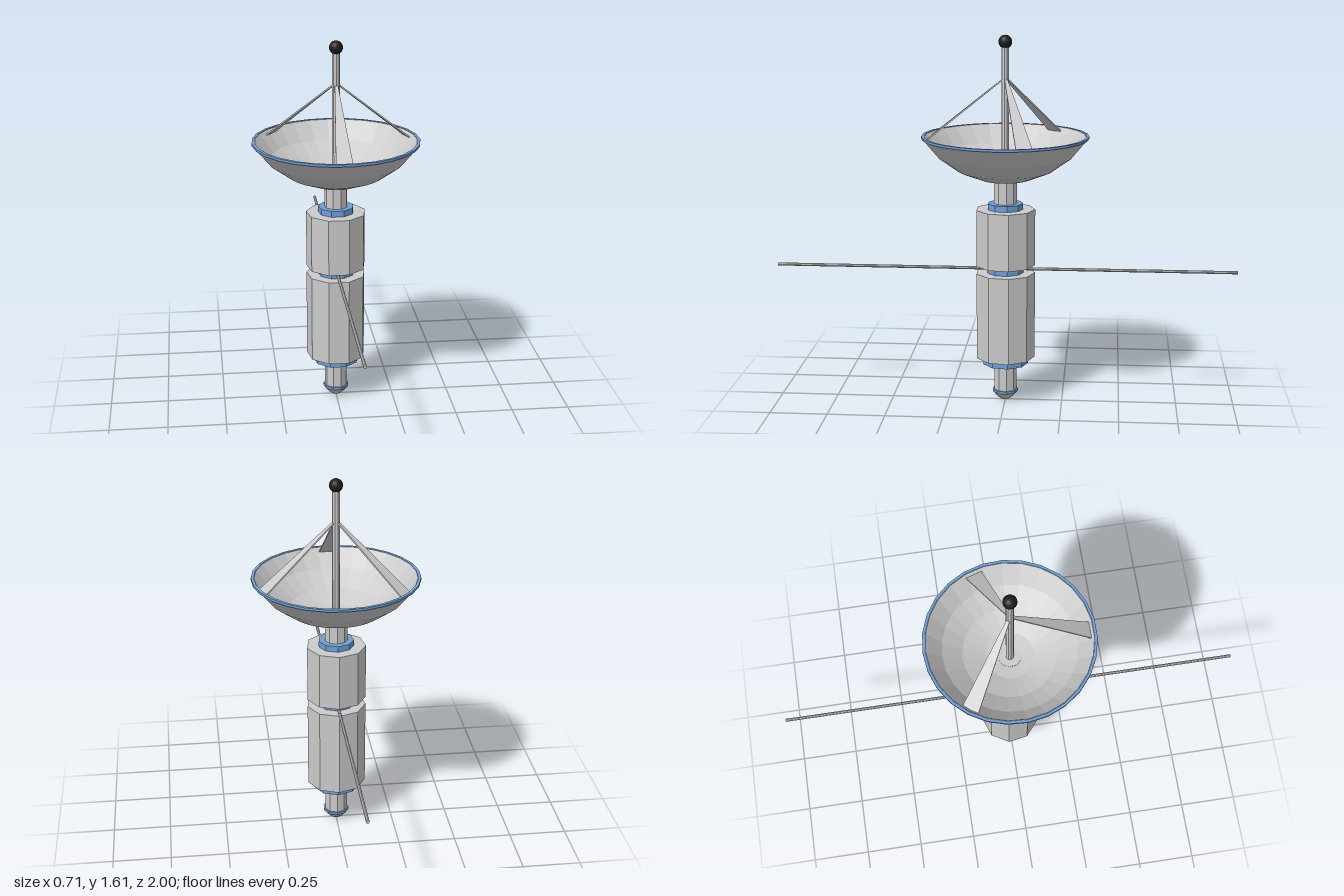
import * as THREE from 'three';

const SIDES = 9;
const mat = (color, side = THREE.FrontSide) =>
  new THREE.MeshStandardMaterial({ color, flatShading: true, side });

export function createModel() {
  const model = new THREE.Group();
  const grey = mat(0xcccccc);
  const blue = mat(0x6f9fd8);
  const black = mat(0x1c1c1c);

  const add = (name, geometry, material) => {
    const mesh = new THREE.Mesh(geometry, material);
    mesh.name = name;
    model.add(mesh);
    return mesh;
  };

  // Nine-sided drum between two heights, one corner facing the back
  const drum = (name, r, y0, y1, material) => {
    const g = new THREE.CylinderGeometry(r, r, y1 - y0, SIDES);
    g.rotateY(Math.PI);
    g.translate(0, (y0 + y1) / 2, 0);
    return add(name, g, material);
  };

  // Stacked body
  drum('lowerNeck', 0.05, 0.05, 0.18, grey);
  drum('noseBand', 0.056, 0.04, 0.051, blue);
  drum('lowerCollar', 0.1, 0.17, 0.201, blue);
  drum('lowerBody', 0.129, 0.2, 0.582, grey);
  drum('middleCollar', 0.08, 0.58, 0.617, blue);
  drum('upperBody', 0.129, 0.615, 0.862, grey);
  drum('upperCollar', 0.077, 0.86, 0.888, blue);
  drum('upperNeck', 0.05, 0.88, 1.0, grey);

  // Blunt nose at the foot
  const nose = [[0, 0], [0.019, 0.004], [0.037, 0.019], [0.055, 0.041]];
  const noseGeo = new THREE.LatheGeometry(nose.map(p => new THREE.Vector2(...p)), SIDES);
  noseGeo.rotateY(Math.PI);
  add('nose', noseGeo, grey);

  // Long rod running front to back
  const rod = new THREE.CylinderGeometry(0.007, 0.007, 2, 8);
  rod.rotateX(Math.PI / 2);
  rod.translate(0, 0.598, 0);
  add('crossRod', rod, grey);

  // Dish: part of a sphere with an outer and an inner skin
  const BANDS = 4, SEG = 27, R = 0.4225, centreY = 1.4025, edge = 1.002;
  const arc = radius => Array.from({ length: BANDS + 1 }, (_, i) => {
    const a = edge * i / BANDS;
    return new THREE.Vector2(radius * Math.sin(a), centreY - radius * Math.cos(a));
  });
  const dish = new THREE.LatheGeometry([...arc(R), ...arc(R - 0.012).reverse()], SEG);
  dish.rotateY(Math.PI);
  add('dish', dish, mat(0xcccccc, THREE.DoubleSide));

  // Thin coloured rim
  const rimProfile = [[0.344, 1.171], [0.357, 1.171], [0.357, 1.181], [0.344, 1.181], [0.344, 1.171]];
  const rim = new THREE.LatheGeometry(rimProfile.map(p => new THREE.Vector2(...p)), SEG);
  rim.rotateY(Math.PI);
  add('dishRim', rim, blue);

  // Mast and ball tip
  const mast = new THREE.CylinderGeometry(0.017, 0.017, 0.58, SIDES);
  mast.translate(0, 1.275, 0);
  add('mast', mast, grey);
  const ball = new THREE.SphereGeometry(0.029, 16, 12);
  ball.translate(0, 1.578, 0);
  add('mastTip', ball, black);

  // Three flat struts, wide at the dish and narrow at the mast
  const foot = new THREE.Vector2(0.335, 1.16), head = new THREE.Vector2(0.004, 1.425);
  const length = foot.distanceTo(head);
  const shape = new THREE.Shape([
    new THREE.Vector2(-0.036, 0), new THREE.Vector2(0.036, 0),
    new THREE.Vector2(0.006, length), new THREE.Vector2(-0.006, length),
  ]);
  const strutGeo = new THREE.ExtrudeGeometry(shape, { depth: 0.006, bevelEnabled: false });
  strutGeo.translate(0, 0, -0.003);
  strutGeo.rotateX(-Math.atan2(foot.x - head.x, head.y - foot.y));
  strutGeo.translate(0, foot.y, foot.x);
  [0, 108, -127].forEach((deg, i) => {
    add('strut' + (i + 1), strutGeo, grey).rotation.y = THREE.MathUtils.degToRad(deg);
  });

  return model;
}
